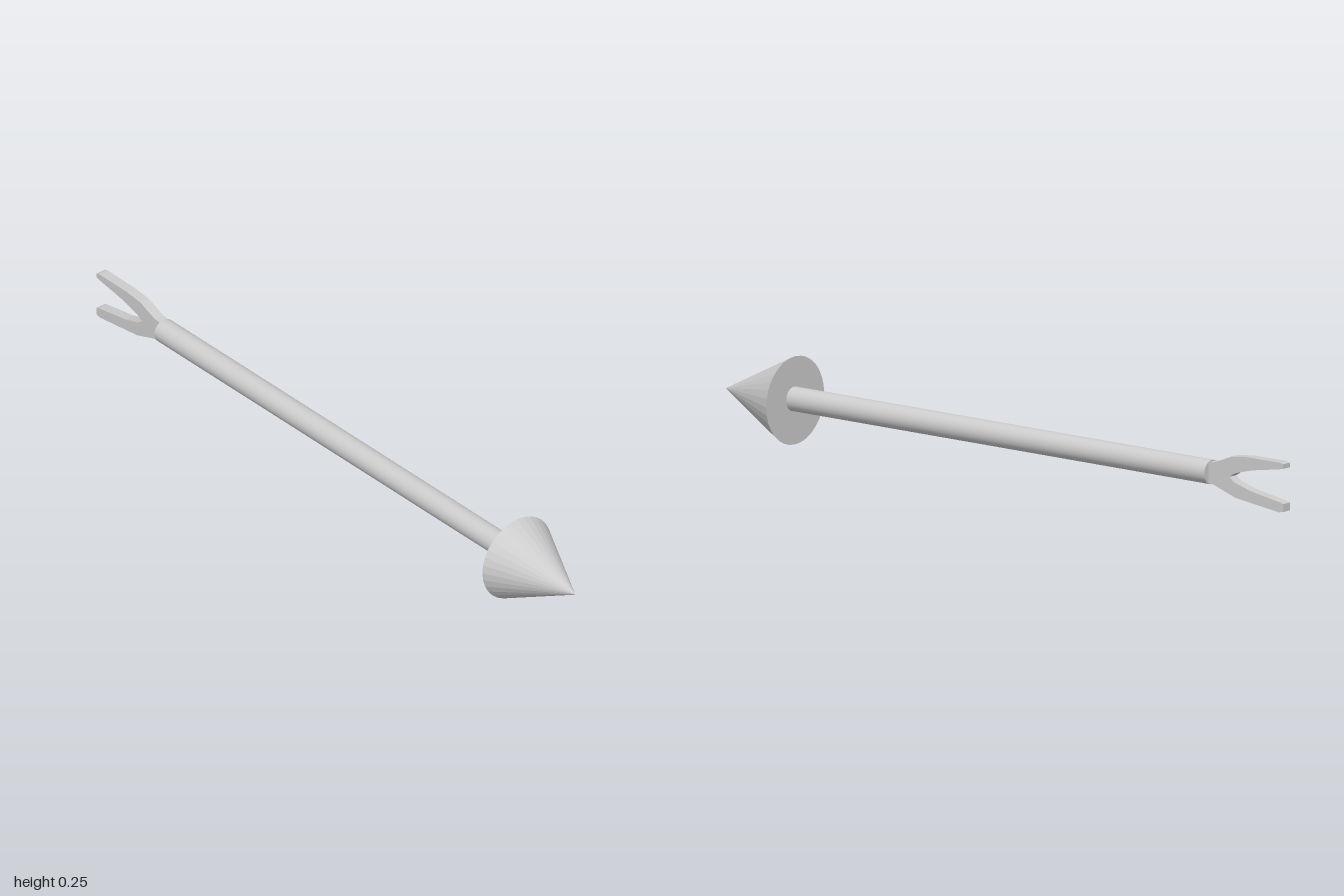
import * as THREE from 'three';

export function createModel() {
  const group = new THREE.Group();
  const smooth = new THREE.MeshStandardMaterial({ color: 0xcccccc });
  const flat = new THREE.MeshStandardMaterial({ color: 0xcccccc, flatShading: true });

  const add = (name, geometry, material, x, y, z) => {
    const mesh = new THREE.Mesh(geometry, material);
    mesh.name = name;
    mesh.position.set(x, y, z);
    group.add(mesh);
  };

  const headX = 0.753, headRadius = 0.123, headLength = 1 - headX;
  const shaftStart = -0.735, shaftLength = headX - shaftStart;
  const shaftY = 0.128, shaftZ = -0.004;

  // Pointed head, with a flat back
  const head = new THREE.ConeGeometry(headRadius, headLength, 32).rotateZ(-Math.PI / 2);
  add('head', head, flat, headX + headLength / 2, headRadius, 0);

  // Round shaft
  const shaft = new THREE.CylinderGeometry(0.034, 0.034, shaftLength, 32).rotateZ(-Math.PI / 2);
  add('shaft', shaft, smooth, shaftStart + shaftLength / 2, shaftY, shaftZ);

  // Flat two-pronged tail, outlined from the upper prong round to the lower one
  const outline = [
    [-0.725, 0.157], [-0.755, 0.16], [-0.815, 0.184], [-0.87, 0.19], [-0.99, 0.191], [-1, 0.188],
    [-1, 0.175], [-0.985, 0.172], [-0.89, 0.156], [-0.83, 0.14], [-0.808, 0.127],
    [-0.825, 0.114], [-0.88, 0.098], [-0.99, 0.08], [-1, 0.077],
    [-1, 0.055], [-0.985, 0.052], [-0.83, 0.071], [-0.75, 0.098], [-0.725, 0.1],
  ];
  const shape = new THREE.Shape(outline.map(([x, y]) => new THREE.Vector2(x, y)));
  const depth = 0.03;
  const fork = new THREE.ExtrudeGeometry(shape, { depth, bevelEnabled: false });
  add('forkedTail', fork, flat, 0, 0, shaftZ - depth / 2);

  return group;
}
